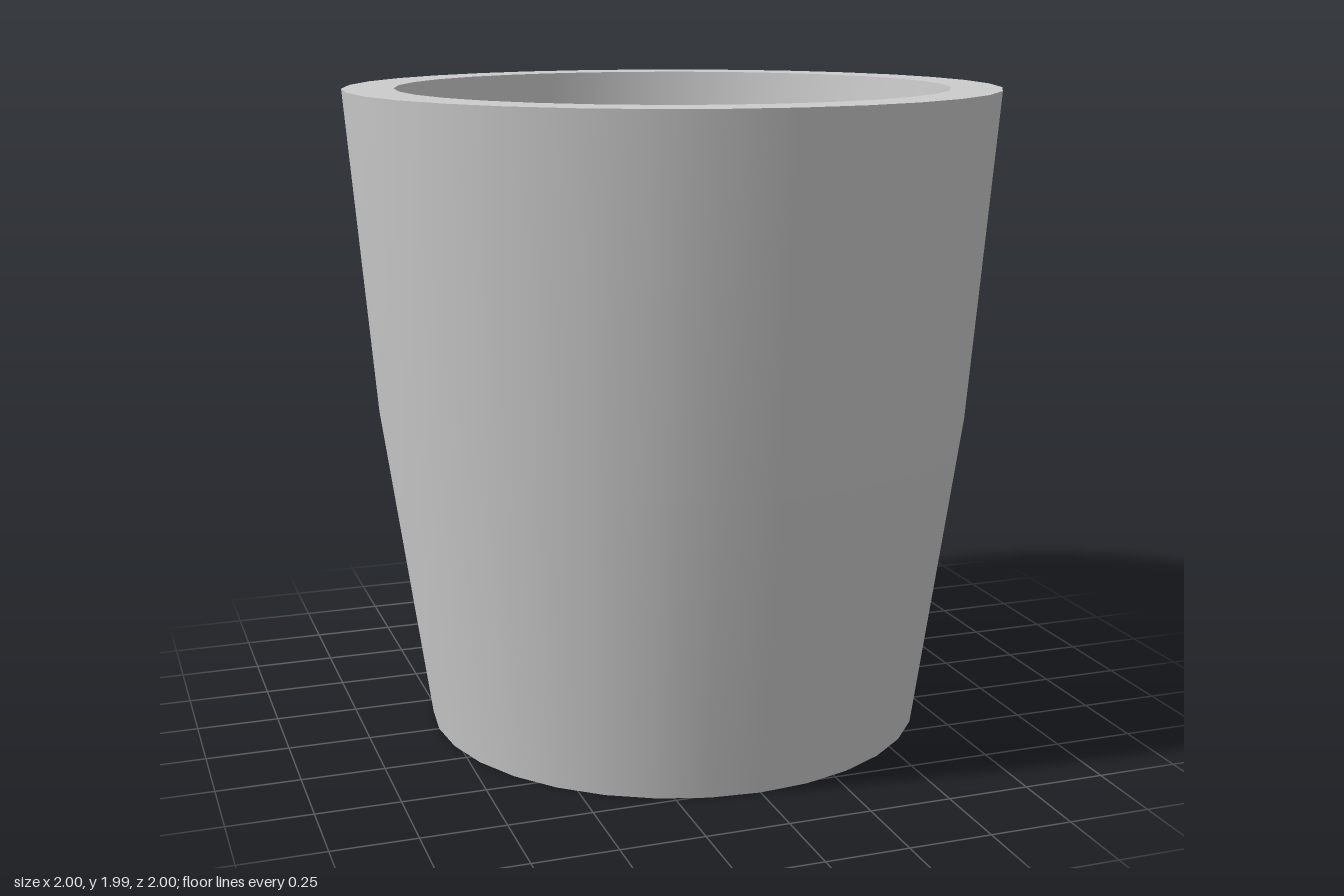
import * as THREE from 'three';

const SIDES = 32;
const HEIGHT = 1.99;
const FLOOR = 0.2;
const INNER = 0.845; // inner radius as a share of the outer one

export function createModel() {
  const group = new THREE.Group();
  group.name = 'cup';
  const material = new THREE.MeshStandardMaterial({ color: 0xcccccc });

  // Each surface is its own lathe, so the rims stay sharp and the walls smooth
  const addSurface = (name, profile) => {
    const points = profile.map(([r, y]) => new THREE.Vector2(r, y));
    const mesh = new THREE.Mesh(new THREE.LatheGeometry(points, SIDES), material);
    mesh.name = name;
    group.add(mesh);
  };

  // Tapered wall with a slight bend at mid height
  const wall = [[0.78, 0], [0.92, 1], [1, HEIGHT]];
  const lining = wall
    .map(([r, y]) => [r * INNER, FLOOR + y * (HEIGHT - FLOOR) / HEIGHT])
    .reverse();

  addSurface('base', [[0, 0], wall[0]]);
  addSurface('outerWall', wall);
  addSurface('rim', [wall[2], lining[0]]);
  addSurface('innerWall', lining);
  addSurface('innerFloor', [lining[2], [0, FLOOR]]);

  return group;
}
